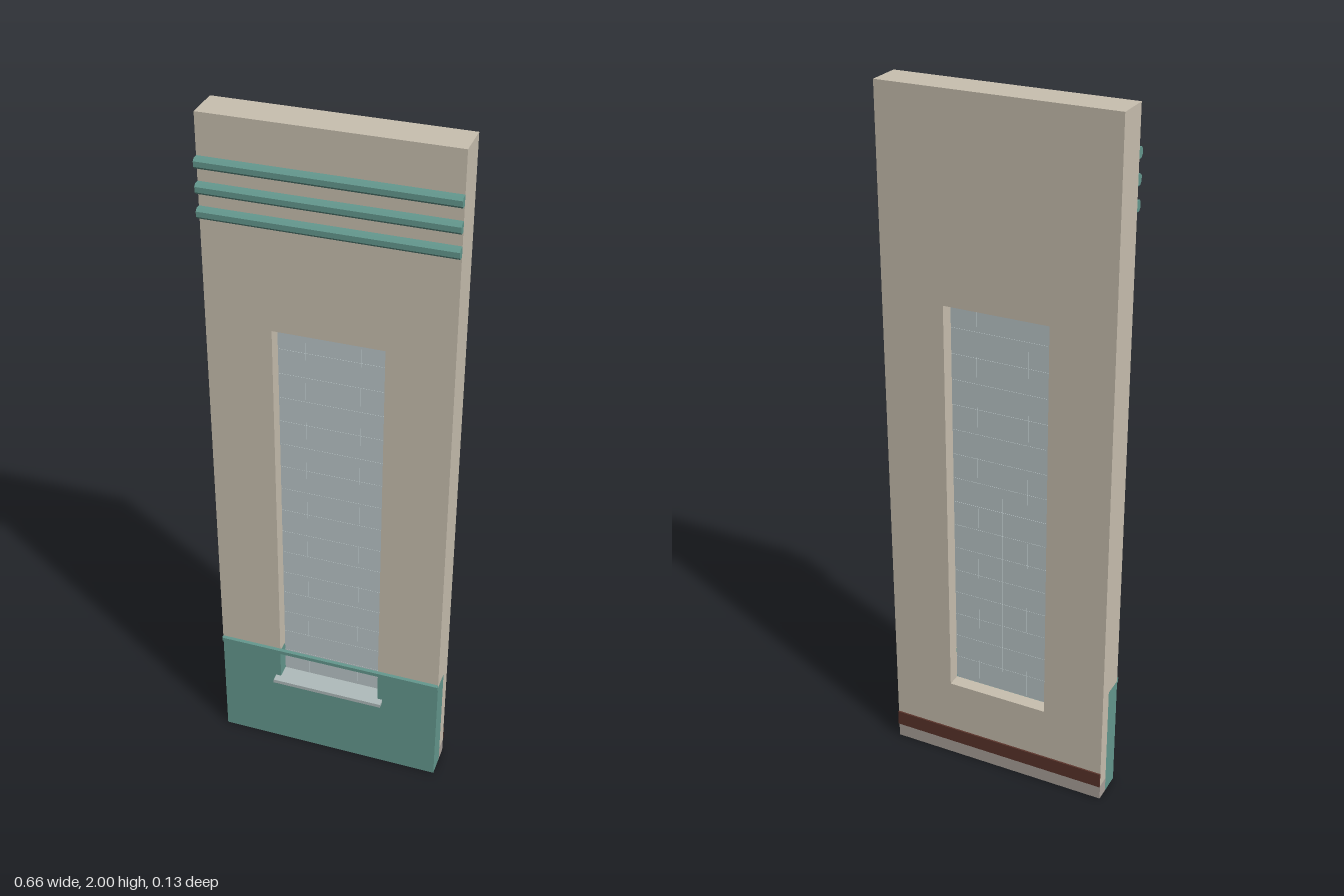
import * as THREE from 'three';

const mat = (name, color) => {
  const m = new THREE.MeshStandardMaterial({ color });
  m.name = name;
  return m;
};

export function createModel() {
  const plaster = mat('beige plaster', 0xc9c0b0);
  const teal = mat('teal tile', 0x65998f);
  const glass = mat('pale glass', 0xbcc8ca);
  const brown = mat('dark brown wood', 0x5a342b);
  const stone = mat('grey base', 0xaba29b);
  const metal = mat('sill metal', 0xb0bcbc);

  const root = new THREE.Group();
  root.name = 'wallPanel';
  const W = 0.33, H = 2, back = -0.06, front = 0.04, mid = -0.02;
  const winX = 0.15, winBottom = 0.25, winTop = 1.44, dadoTop = 0.35, baseTop = 0.045;

  const add = (name, geometry, material, parent = root) => {
    const mesh = new THREE.Mesh(geometry, material);
    mesh.name = name;
    parent.add(mesh);
    return mesh;
  };
  // Box given by its limits on each axis
  const box = (name, x0, x1, y0, y1, z0, z1, material, parent) => {
    const mesh = add(name, new THREE.BoxGeometry(x1 - x0, y1 - y0, z1 - z0), material, parent);
    mesh.position.set((x0 + x1) / 2, (y0 + y1) / 2, (z0 + z1) / 2);
    return mesh;
  };
  // Flat outline in x, y pushed from z0 to z1
  const slab = (name, points, z0, z1, material) => {
    const shape = new THREE.Shape(points.map(([x, y]) => new THREE.Vector2(x, y)));
    const geometry = new THREE.ExtrudeGeometry(shape, { depth: z1 - z0, bevelEnabled: false });
    geometry.translate(0, 0, z0);
    return add(name, geometry, material);
  };
  // U outline of the wall below the dado line, notched by the window
  const notched = (y0) => [
    [-W, y0], [W, y0], [W, dadoTop], [winX, dadoTop],
    [winX, winBottom], [-winX, winBottom], [-winX, dadoTop], [-W, dadoTop],
  ];

  // Wall
  slab('upperWall', [
    [-W, dadoTop], [-winX, dadoTop], [-winX, winTop], [winX, winTop],
    [winX, dadoTop], [W, dadoTop], [W, H], [-W, H],
  ], back, front, plaster);
  slab('lowerInnerWall', notched(baseTop), back, mid, plaster);
  slab('frontDado', notched(0), mid, front, teal);
  box('floorEdge', -W, W, 0, baseTop, back, mid, stone);
  box('baseboard', -W, W, baseTop, 0.09, -0.065, back, brown);

  // Window of glass blocks, four across and sixteen high
  const blocks = new THREE.Group();
  blocks.name = 'glassBlocks';
  root.add(blocks);
  const cols = 4, rows = 16, joint = 0.0003;
  const bw = (2 * winX) / cols, bh = (winTop - winBottom) / rows;
  for (let r = 0; r < rows; r++) {
    for (let c = 0; c < cols; c++) {
      const x = -winX + c * bw, y = winBottom + r * bh;
      box('glassBlock', x + joint, x + bw - joint, y + joint, y + bh - joint, mid, 0, glass, blocks);
    }
  }
  box('windowSill', -0.165, 0.165, 0.24, 0.251, 0, 0.063, metal);

  // Horizontal mouldings with chamfered outer corners
  const moulding = (name, y0, y1, depth, cut) => {
    const shape = new THREE.Shape([
      [0, y0], [depth - cut, y0], [depth, y0 + cut],
      [depth, y1 - cut], [depth - cut, y1], [0, y1],
    ].map(([x, y]) => new THREE.Vector2(x, y)));
    const geometry = new THREE.ExtrudeGeometry(shape, { depth: 2 * W, bevelEnabled: false });
    geometry.rotateY(-Math.PI / 2);
    geometry.translate(W, 0, front);
    add(name, geometry, teal);
  };
  for (const y of [1.745, 1.81, 1.876]) moulding('topBand', y - 0.014, y + 0.014, 0.021, 0.007);
  moulding('dadoRail', 0.343, 0.36, 0.008, 0.003);

  return root;
}
